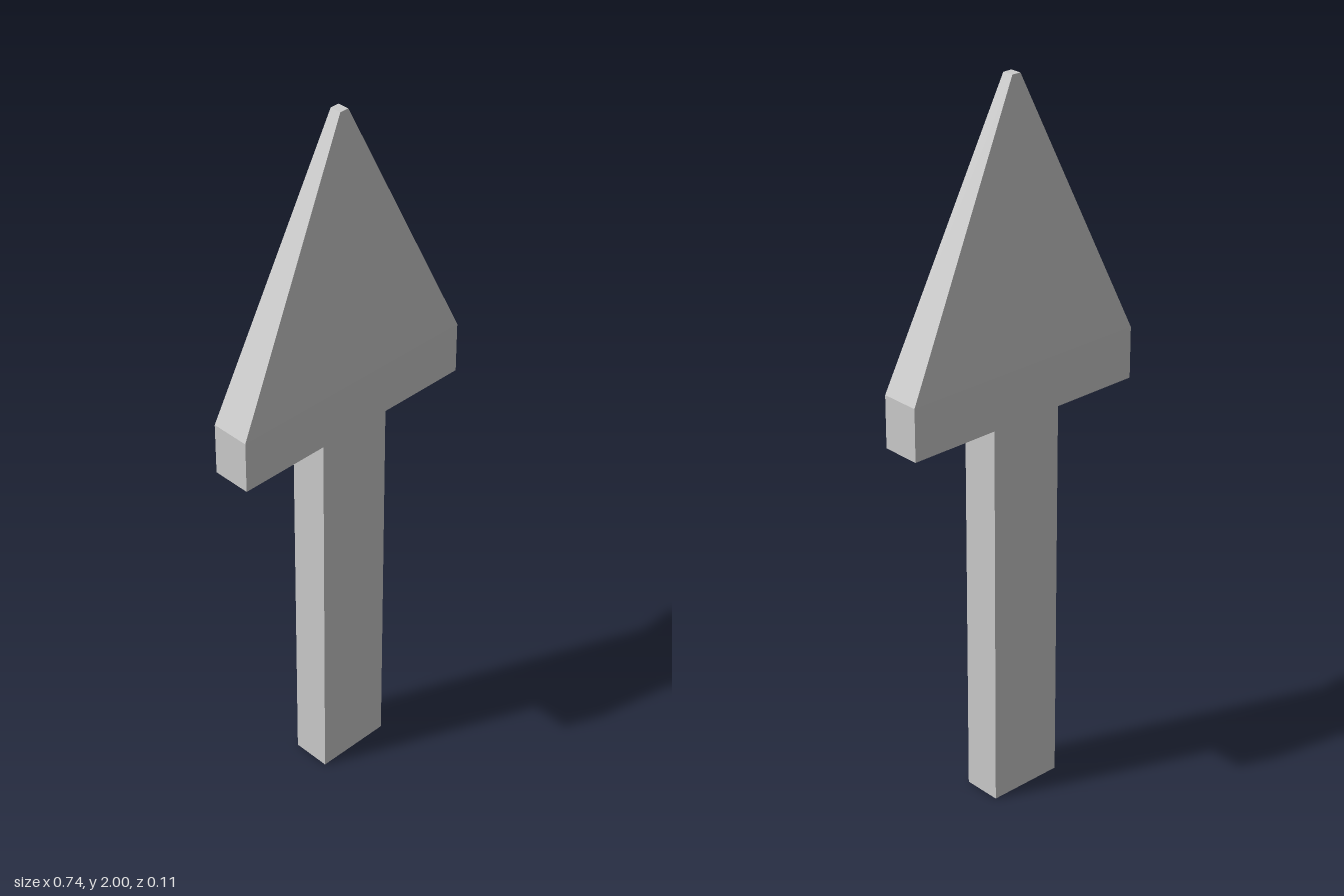
import * as THREE from 'three';

const material = new THREE.MeshStandardMaterial({ color: 0xcccccc, flatShading: true });
const DEPTH = 0.11;

// Box from y0 to y1 whose top face may be narrowed to topWidth x topDepth
function block(name, width, y0, y1, topWidth = width, topDepth = DEPTH) {
  const geometry = new THREE.BoxGeometry(width, y1 - y0, DEPTH);
  const p = geometry.attributes.position;
  for (let i = 0; i < p.count; i++) {
    if (p.getY(i) > 0) {
      p.setX(i, Math.sign(p.getX(i)) * topWidth / 2);
      p.setZ(i, Math.sign(p.getZ(i)) * topDepth / 2);
    }
  }
  geometry.translate(0, (y0 + y1) / 2, 0);
  geometry.computeVertexNormals();
  const mesh = new THREE.Mesh(geometry, material);
  mesh.name = name;
  return mesh;
}

export function createModel() {
  const model = new THREE.Group();
  model.name = 'arrow';
  model.add(
    block('shaft', 0.22, 0, 1.105),
    block('headBase', 0.74, 1.105, 1.25),
    // Head narrows on all four sides to a small blunt tip
    block('headPoint', 0.74, 1.25, 2, 0.026, 0.032),
  );
  return model;
}
